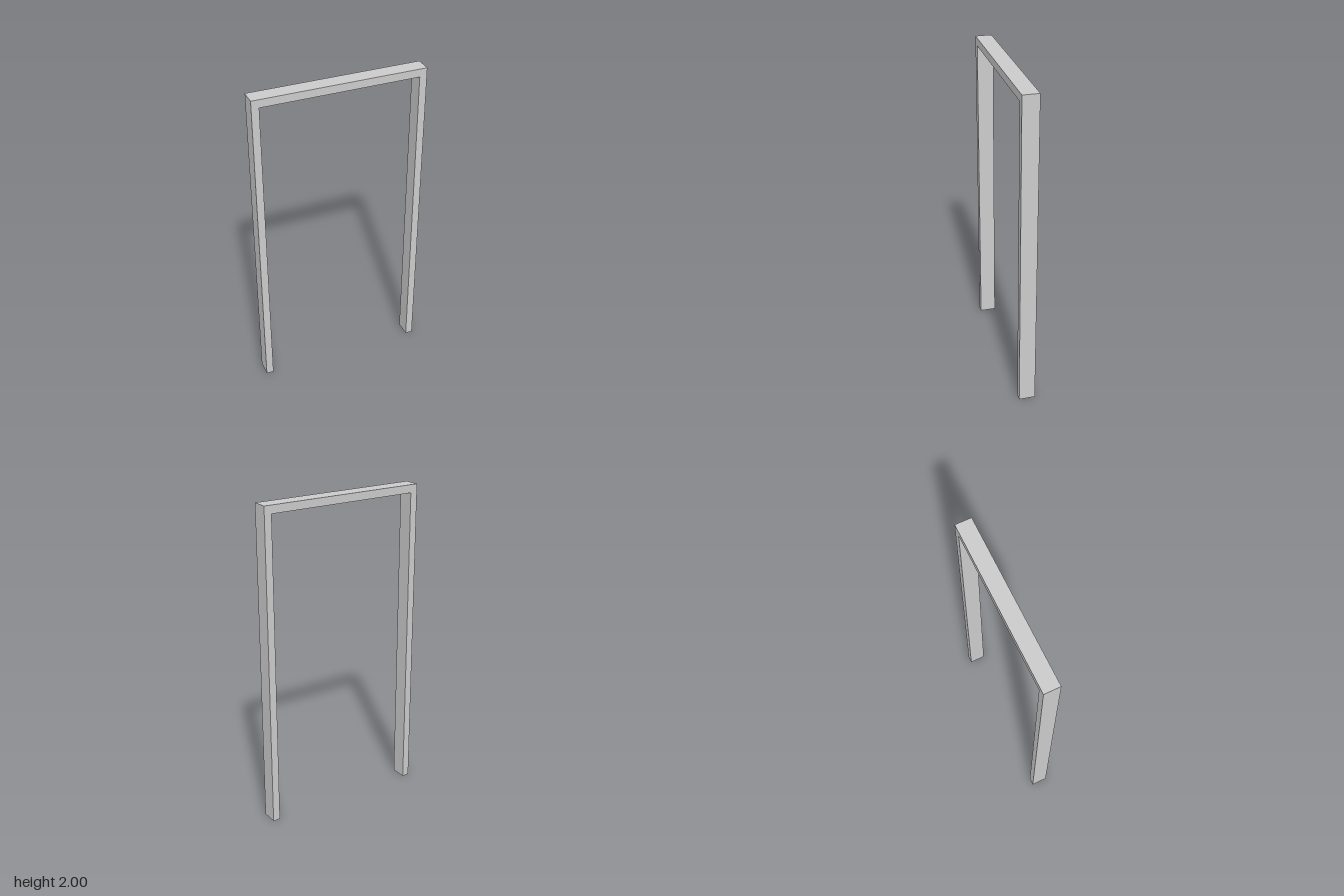
import * as THREE from 'three';

export function createModel() {
  const group = new THREE.Group();
  group.name = 'doorFrame';

  const halfWidth = 0.533, innerHalf = 0.487; // outer edge and opening
  const height = 2, lintelBottom = 1.95, depth = 0.101;

  // Two posts and a lintel as one continuous outline
  const outline = new THREE.Shape([
    [-halfWidth, 0], [-innerHalf, 0], [-innerHalf, lintelBottom], [innerHalf, lintelBottom],
    [innerHalf, 0], [halfWidth, 0], [halfWidth, height], [-halfWidth, height],
  ].map(([x, y]) => new THREE.Vector2(x, y)));

  const geometry = new THREE.ExtrudeGeometry(outline, { depth, bevelEnabled: false });
  geometry.translate(0, 0, -depth / 2);

  const frame = new THREE.Mesh(geometry, new THREE.MeshStandardMaterial({ color: 0xcccccc }));
  frame.name = 'frame';
  group.add(frame);
  return group;
}
